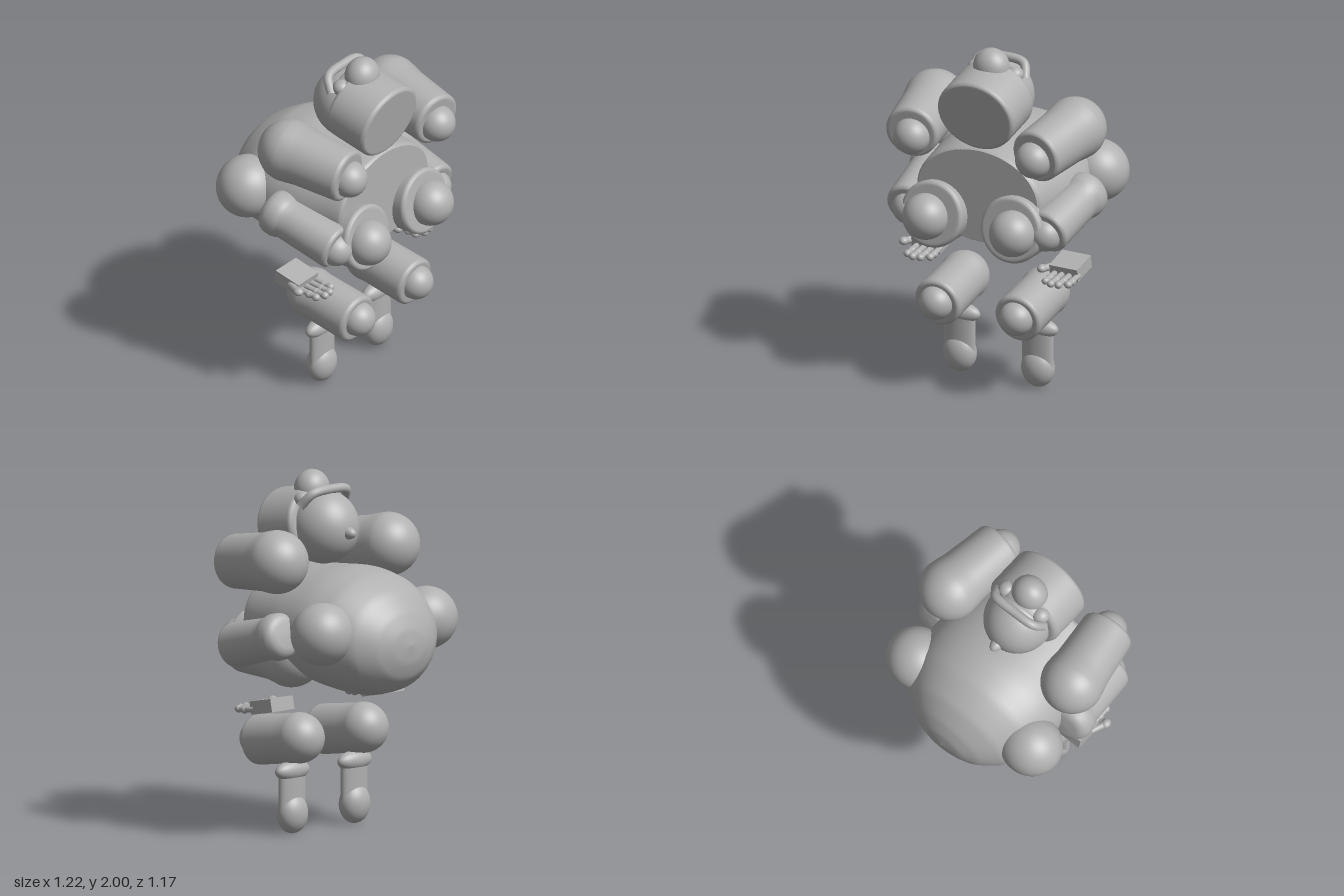
import * as THREE from 'three';

const clay = new THREE.MeshStandardMaterial({ color: 0xb0b0b0 });
clay.name = 'clay grey';
const V = (x, y, z) => new THREE.Vector3(x, y, z);

function add(parent, name, geometry, position = V(0, 0, 0)) {
  const mesh = new THREE.Mesh(geometry, clay);
  mesh.name = name;
  mesh.position.copy(position);
  parent.add(mesh);
  return mesh;
}

function ellipsoid(parent, name, position, rx, ry = rx, rz = rx) {
  return add(parent, name, new THREE.SphereGeometry(1, 40, 28).scale(rx, ry, rz), position);
}

// Turned shape whose axis runs from one point towards another
function turned(parent, name, profile, from, to) {
  const points = profile.map(([r, h]) => new THREE.Vector2(r, h));
  const mesh = add(parent, name, new THREE.LatheGeometry(points, 48), from);
  mesh.quaternion.setFromUnitVectors(V(0, 1, 0), to.clone().sub(from).normalize());
  return mesh;
}

// Softly bevelled flat end at height h
const flatEnd = (r, h) => [[r, h - 0.025], [r - 0.002, h - 0.012], [r - 0.012, h - 0.002],
  [r - 0.02, h], [r - 0.03, h], [0, h]];

// Rounded start of a limb
function domeStart(r) {
  const points = [];
  for (let i = 0; i <= 16; i++) {
    const a = (i / 16) * Math.PI / 2;
    points.push([r * Math.sin(a), -r * Math.cos(a)]);
  }
  return points;
}

// Limb segment: back dome, tapering sleeve, ball joint at the front
function limb(parent, name, from, to, rBack, rNeck, rFront, ball, rBall) {
  const g = new THREE.Group();
  g.name = name;
  parent.add(g);
  const L = from.distanceTo(to);
  const profile = [...domeStart(rBack), [rBack * 0.97, rBack * 0.28],
    [rNeck, rBack * 0.6], ...flatEnd(rFront, L)];
  turned(g, name + 'Sleeve', profile, from, to);
  ellipsoid(g, name + 'Joint', ball, rBall);
}

// Body lofted from elliptical sections: z, half width, top, bottom
function makeTorso(parent) {
  const sections = [
    [-0.585, 0.005, 1.105, 1.095], [-0.572, 0.12, 1.19, 1.0], [-0.535, 0.22, 1.28, 0.91],
    [-0.45, 0.335, 1.39, 0.835], [-0.3, 0.425, 1.475, 0.8], [-0.15, 0.45, 1.5, 0.81],
    [0.02, 0.44, 1.49, 0.84], [0.2, 0.41, 1.475, 0.875], [0.335, 0.385, 1.46, 0.905],
    [0.352, 0.37, 1.45, 0.915]];
  const size = new THREE.CatmullRomCurve3(sections.map(s => V(s[1], s[2], s[3])));
  const depth = new THREE.CatmullRomCurve3(sections.map(s => V(s[0], 0, 0)));
  const rings = 54, sides = 64, pos = [], index = [];
  for (let i = 0; i <= rings; i++) {
    const s = size.getPoint(i / rings), z = depth.getPoint(i / rings).x;
    for (let j = 0; j < sides; j++) {
      const a = (j / sides) * Math.PI * 2;
      pos.push(s.x * Math.cos(a), (s.y + s.z) / 2 + (s.y - s.z) / 2 * Math.sin(a), z);
      if (i < rings) {
        const p = i * sides + j, q = i * sides + (j + 1) % sides;
        index.push(p, q, p + sides, q, q + sides, p + sides);
      }
    }
  }
  const geo = new THREE.BufferGeometry();
  geo.setAttribute('position', new THREE.Float32BufferAttribute(pos, 3));
  geo.setIndex(index);
  geo.computeVertexNormals();
  add(parent, 'torso', geo);
  add(parent, 'torsoFrontFace', new THREE.CircleGeometry(1, 64).scale(0.37, 0.2675, 1),
    V(0, 1.1825, 0.352));
}

// Upturned face with a wide flat muzzle drum
function makeHead(parent) {
  const head = new THREE.Group();
  head.name = 'head';
  parent.add(head);
  const drum = turned(head, 'muzzleDrum', [[0, 0], [0.2, 0], [0.225, 0.01], [0.235, 0.03],
    ...flatEnd(0.235, 0.275)], V(0, 1.715, 0.12), V(0, 1.665, 0.385));
  drum.scale.z = 0.9;
  ellipsoid(head, 'skull', V(0, 1.69, 0.1), 0.195, 0.205, 0.205);
  ellipsoid(head, 'crownTip', V(0, 1.675, -0.09), 0.035, 0.035, 0.055);
  ellipsoid(head, 'face', V(0, 1.79, 0.14), 0.155, 0.12, 0.1);
  ellipsoid(head, 'nose', V(0, 1.89, 0.19), 0.105, 0.11, 0.095);
  ellipsoid(head, 'lips', V(0, 1.86, 0.295), 0.075, 0.035, 0.04);
  const browPath = new THREE.CatmullRomCurve3([V(-0.17, 1.82, 0.11), V(-0.13, 1.89, 0.055),
    V(0, 1.905, 0.045), V(0.13, 1.89, 0.055), V(0.17, 1.82, 0.11)]);
  add(head, 'brow', new THREE.TubeGeometry(browPath, 40, 0.026, 14));
  for (const s of [-1, 1]) ellipsoid(head, 'cheek', V(s * 0.12, 1.85, 0.14), 0.05, 0.045, 0.05);
}

// Blocky palm with short knuckled fingers; both thumbs point the same way
function makeHand(parent, s) {
  const hand = new THREE.Group();
  hand.name = s > 0 ? 'leftHand' : 'rightHand';
  parent.add(hand);
  const x = s * 0.43;
  add(hand, 'palm', new THREE.BoxGeometry(0.175, 0.075, 0.165), V(x, 0.745, 0.072)).rotation.x = 0.2;
  for (let i = 0; i < 4; i++) {
    const fx = x - 0.055 + i * 0.045, reach = [0.28, 0.305, 0.3, 0.27][i];
    const path = new THREE.LineCurve3(V(fx, 0.722, 0.13), V(fx, 0.712, reach - 0.015));
    add(hand, 'finger', new THREE.TubeGeometry(path, 4, 0.017, 12));
    for (const z of [reach - 0.02, (reach + 0.14) / 2])
      ellipsoid(hand, 'knuckle', V(fx, 0.713, z), 0.022, 0.021, 0.024);
  }
  const thumb = new THREE.LineCurve3(V(x - 0.08, 0.745, 0.1), V(x - 0.115, 0.745, 0.18));
  add(hand, 'thumb', new THREE.TubeGeometry(thumb, 4, 0.02, 12));
  ellipsoid(hand, 'thumbTip', V(x - 0.118, 0.748, 0.185), 0.026, 0.023, 0.03);
}

export function createModel() {
  const model = new THREE.Group();
  model.name = 'jointedFigure';
  makeTorso(model);
  makeHead(model);

  for (const s of [-1, 1]) {
    const side = s > 0 ? 'left' : 'right';
    ellipsoid(model, side + 'BodySocket', V(s * 0.405, 1.18, -0.295), 0.18, 0.175, 0.172);

    limb(model, side + 'UpperArm', V(s * 0.435, 1.55, 0.03), V(s * 0.385, 1.505, 0.41),
      0.177, 0.163, 0.152, V(s * 0.38, 1.49, 0.41), 0.104);
    limb(model, side + 'Thigh', V(s * 0.25, 1.0, 0.1), V(s * 0.248, 1.055, 0.44),
      0.178, 0.17, 0.19, V(s * 0.27, 1.045, 0.455), 0.13);
    limb(model, side + 'Knee', V(s * 0.25, 0.545, 0.04), V(s * 0.25, 0.497, 0.365),
      0.142, 0.138, 0.14, V(s * 0.25, 0.505, 0.367), 0.098);

    // Forearm with a rounded collar at the back
    const from = V(s * 0.47, 1.14, -0.01), to = V(s * 0.43, 1.045, 0.365);
    turned(model, side + 'Forearm', [[0, -0.085], [0.07, -0.083], [0.1, -0.075], [0.12, -0.055],
      [0.13, -0.03], [0.132, 0.01], [0.125, 0.04], [0.117, 0.055], [0.118, 0.1],
      ...flatEnd(0.127, from.distanceTo(to))], from, to);
    ellipsoid(model, side + 'Wrist', V(s * 0.425, 1.035, 0.355), 0.095);

    makeHand(model, s);

    // Lower leg: wide ankle roll, flat shank and rounded toe
    const leg = new THREE.Group();
    leg.name = side + 'LowerLeg';
    model.add(leg);
    ellipsoid(leg, 'ankle', V(s * 0.243, 0.355, 0.1), 0.124, 0.056, 0.052);
    add(leg, 'shank', new THREE.CylinderGeometry(1, 1, 0.25, 40).scale(0.096, 1, 0.044),
      V(s * 0.243, 0.235, 0.103));
    ellipsoid(leg, 'toe', V(s * 0.243, 0.115, 0.1), 0.098, 0.111, 0.076);
  }
  return model;
}
